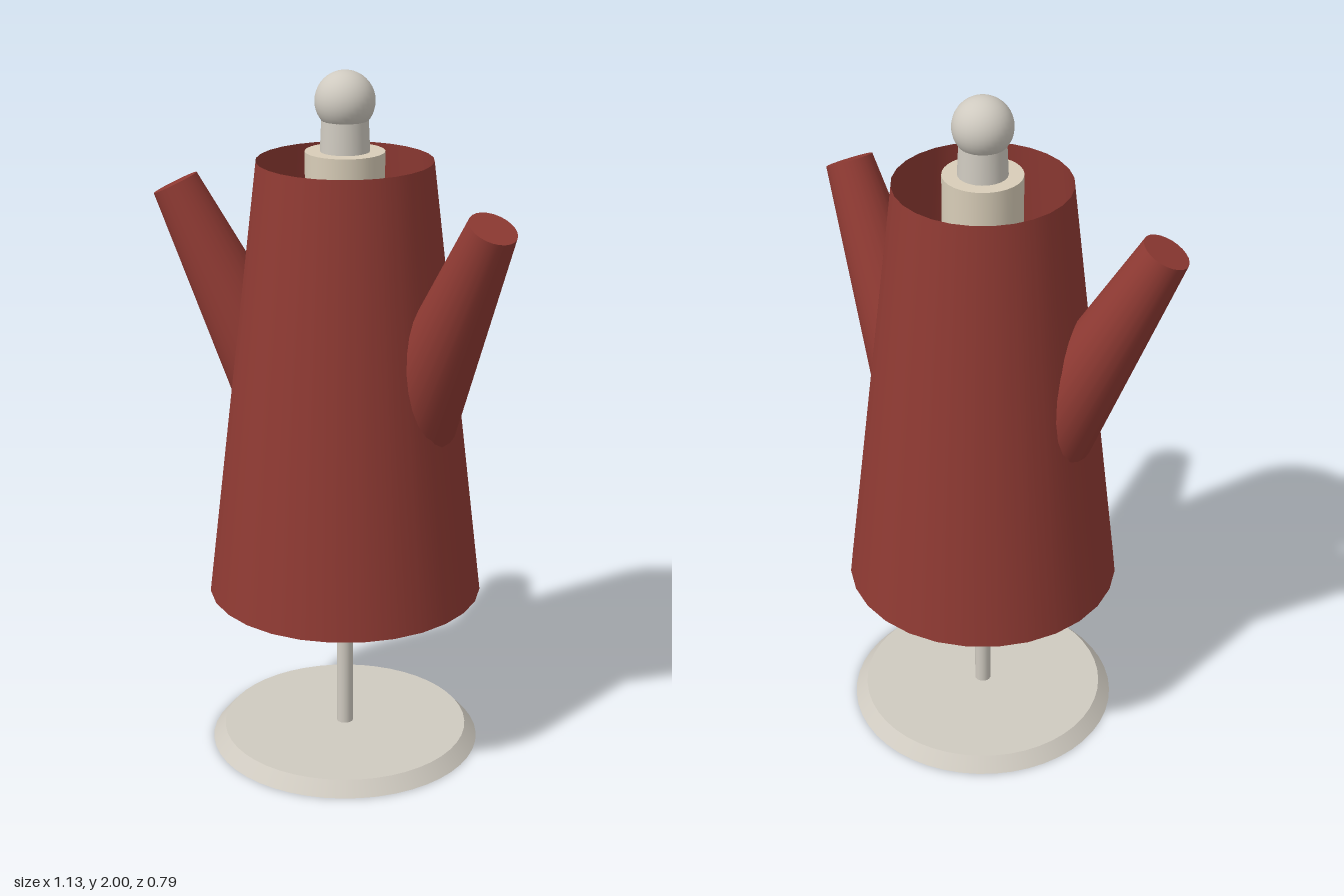
import * as THREE from 'three';

export function createModel() {
  const model = new THREE.Group();
  const paint = (color, side = THREE.FrontSide) => new THREE.MeshStandardMaterial({ color, side });
  const steel = paint(0xcfcac0);
  const linen = paint(0xd8cdb8);
  const cloth = paint(0x8f3a33, THREE.DoubleSide);
  const amber = paint(0xb39a66);

  const add = (name, geometry, material, x = 0, y = 0, z = 0) => {
    const mesh = new THREE.Mesh(geometry, material);
    mesh.name = name;
    mesh.position.set(x, y, z);
    model.add(mesh);
    return mesh;
  };
  // Upright round part between two heights
  const round = (name, material, rTop, rBottom, y0, y1, sides = 32, open = false) =>
    add(name, new THREE.CylinderGeometry(rTop, rBottom, y1 - y0, sides, 1, open), material, 0, (y0 + y1) / 2);

  // Stand
  round('base', steel, 0.36, 0.395, 0, 0.04, 48);
  round('pole', steel, 0.024, 0.024, 0.04, 1.0, 16);

  // Dress form with neck and knob
  round('torso', linen, 0.11, 0.11, 0.98, 1.78);
  round('neck', steel, 0.064, 0.069, 1.77, 1.88, 24);
  add('knob', new THREE.SphereGeometry(0.083, 32, 20), steel, 0, 1.917, 0);

  // Robe, open at neck and hem
  round('robe', cloth, 0.245, 0.395, 0.49, 1.755, 28, true);

  // Tapered sleeves, raised outwards and slightly forwards
  const up = new THREE.Vector3(0, 1, 0);
  for (const side of [1, -1]) {
    const start = new THREE.Vector3(side * 0.22, 1.05, 0);
    const axis = new THREE.Vector3(side * 0.505, 1.65, 0.094).sub(start);
    const sleeve = add(side > 0 ? 'leftSleeve' : 'rightSleeve',
      new THREE.CylinderGeometry(0.068, 0.13, axis.length(), 24), cloth);
    sleeve.position.copy(start).addScaledVector(axis, 0.5);
    sleeve.quaternion.setFromUnitVectors(up, axis.clone().normalize());
  }

  // Short sagging string of beads inside the robe
  for (let i = 0; i < 5; i++) {
    const t = i / 4;
    const sag = (2 * t - 1) ** 2;
    add('bead', new THREE.SphereGeometry(0.018, 12, 8), amber,
      0.187 - 0.112 * t, 0.82 + 0.06 * sag, 0.13 + 0.076 * t);
  }
  return model;
}
